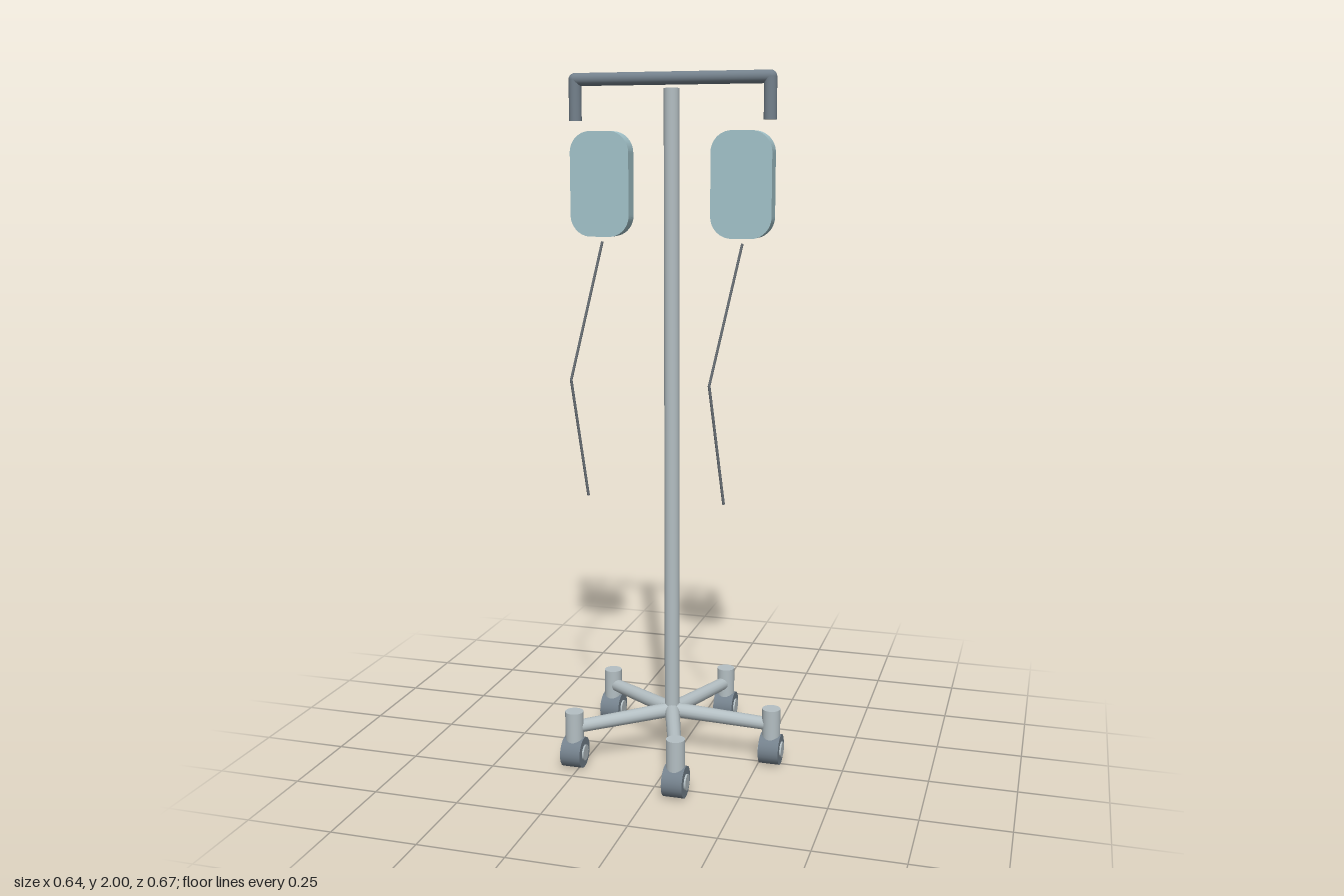
import * as THREE from 'three';

const steel = new THREE.MeshStandardMaterial({ color: 0xb4bfc3 });
const darkSteel = new THREE.MeshStandardMaterial({ color: 0x74818c });
const bagBlue = new THREE.MeshStandardMaterial({ color: 0xa3c3ca });
const tubeGrey = new THREE.MeshStandardMaterial({ color: 0x6b7278 });

const POLE_X = -0.02;
const v = (x, y, z) => new THREE.Vector3(x, y, z);

function add(parent, name, geometry, material) {
  const mesh = new THREE.Mesh(geometry, material);
  mesh.name = name;
  parent.add(mesh);
  return mesh;
}

// Cylinder running from point a to point b
function rod(parent, name, a, b, ra, rb, material, sides = 20) {
  const dir = b.clone().sub(a);
  const mesh = add(parent, name, new THREE.CylinderGeometry(rb, ra, dir.length(), sides), material);
  mesh.position.copy(a).add(b).multiplyScalar(0.5);
  mesh.quaternion.setFromUnitVectors(v(0, 1, 0), dir.normalize());
  return mesh;
}

function ball(parent, name, p, r, material) {
  add(parent, name, new THREE.SphereGeometry(r, 16, 12), material).position.copy(p);
}

// Flat pouch with rounded corners
function bagGeometry(w, h, d, r) {
  const s = new THREE.Shape();
  const x = w / 2, y = h / 2;
  s.absarc(x - r, y - r, r, 0, Math.PI / 2);
  s.absarc(-x + r, y - r, r, Math.PI / 2, Math.PI);
  s.absarc(-x + r, -y + r, r, Math.PI, Math.PI * 1.5);
  s.absarc(x - r, -y + r, r, Math.PI * 1.5, Math.PI * 2);
  s.closePath();
  return new THREE.ExtrudeGeometry(s, { depth: d, bevelEnabled: false, curveSegments: 10 }).translate(0, 0, -d / 2);
}

export function createModel() {
  const model = new THREE.Group();
  model.name = 'dripStand';

  // Upright pole
  rod(model, 'pole', v(POLE_X, 0.12, 0), v(POLE_X, 1.955, 0), 0.022, 0.022, steel);

  // Top bar with a downturned hook at each end
  const hanger = new THREE.Group();
  hanger.name = 'hanger';
  model.add(hanger);
  const barY = 1.982, barR = 0.018, ends = [-0.304, 0.26];
  rod(hanger, 'topBar', v(ends[0], barY, 0), v(ends[1], barY, 0), barR, barR, darkSteel);
  for (const x of ends) {
    rod(hanger, 'hook', v(x, 1.868, 0), v(x, barY, 0), barR, barR, darkSteel);
    ball(hanger, 'hookCorner', v(x, barY, 0), barR, darkSteel);
  }

  // Fluid bags, each with a kinked drip line below
  for (const x of [-0.227, 0.185]) {
    const set = new THREE.Group();
    set.name = 'bagSet';
    set.position.x = x;
    model.add(set);
    add(set, 'bag', bagGeometry(0.174, 0.295, 0.047, 0.06), bagBlue).position.y = 1.692;
    const line = [v(0, 1.53, 0), v(-0.077, 1.135, 0.065), v(-0.044, 0.785, 0.021)];
    rod(set, 'dripLine', line[0], line[1], 0.004, 0.004, tubeGrey, 8);
    rod(set, 'dripLine', line[1], line[2], 0.004, 0.004, tubeGrey, 8);
    ball(set, 'dripLineBend', line[1], 0.004, tubeGrey);
  }

  // Five-legged base on castors that all roll the same way
  for (let i = 0; i < 5; i++) {
    const a = (i * Math.PI * 2) / 5;
    const x = POLE_X + 0.305 * Math.cos(a), z = 0.305 * Math.sin(a);
    const leg = new THREE.Group();
    leg.name = 'leg';
    model.add(leg);
    rod(leg, 'legTube', v(POLE_X, 0.134, 0), v(x, 0.121, z), 0.022, 0.019, steel, 16);
    rod(leg, 'castorPost', v(x, 0.075, z), v(x, 0.17, z), 0.027, 0.027, steel);
    rod(leg, 'wheel', v(x - 0.03, 0.045, z), v(x + 0.03, 0.045, z), 0.045, 0.045, darkSteel, 24);
    rod(leg, 'wheelHub', v(x - 0.035, 0.045, z), v(x + 0.035, 0.045, z), 0.023, 0.023, steel);
  }
  return model;
}
